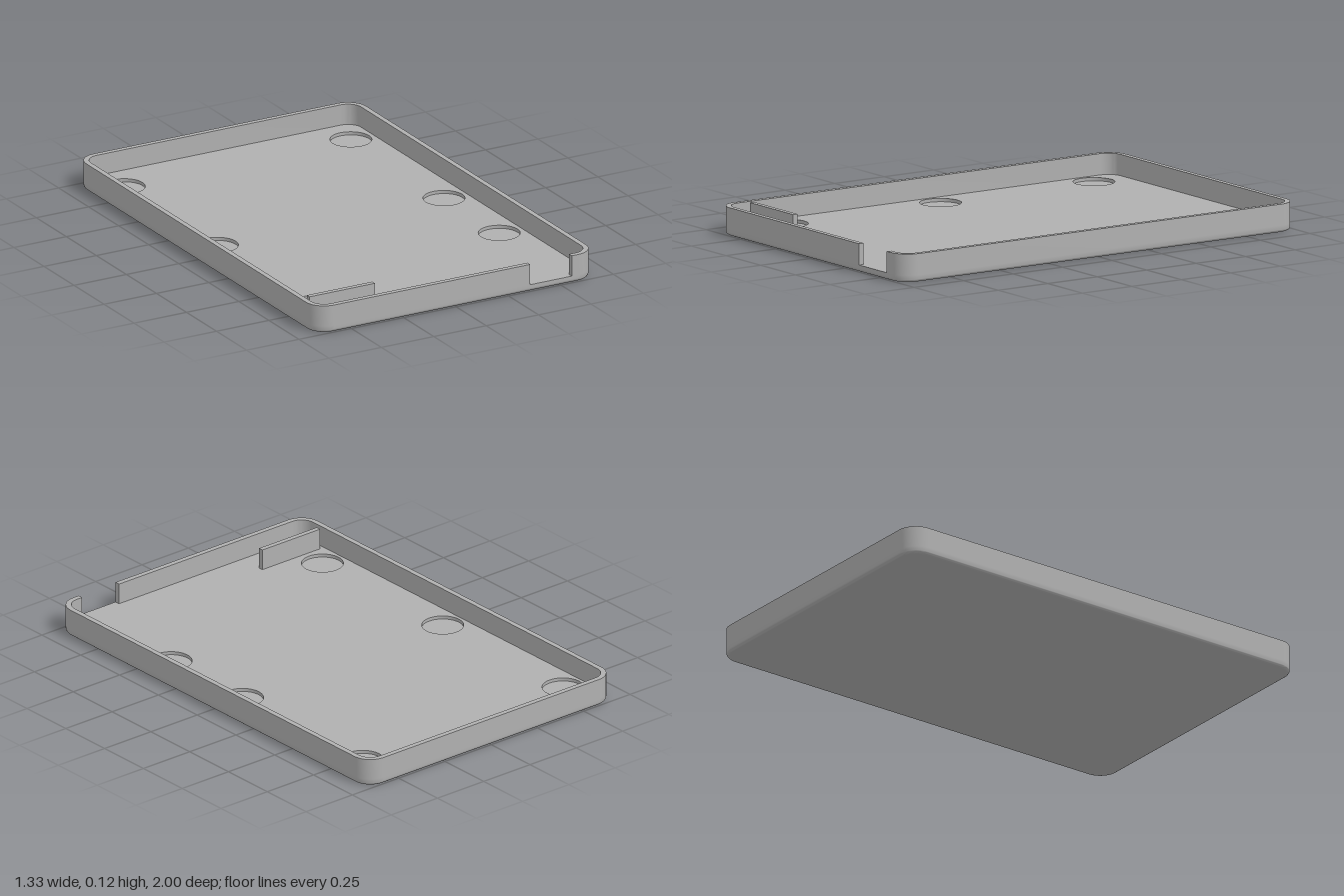
import * as THREE from 'three';
import { toCreasedNormals } from 'three/addons/utils/BufferGeometryUtils.js';

const HALF_X = 0.667, HALF_Z = 1, HEIGHT = 0.12, FLOOR = 0.03;
const WALL = 0.023, CORNER = 0.085, FILLET = 0.016;
const RECESS_R = 0.087, RECESS_DEPTH = 0.014;
const NOTCH = [0.353, 0.552];
const RECESSES = [
  [-0.543, -0.815], [-0.543, -0.04], [-0.543, 0.735],
  [0.538, -0.815], [0.538, -0.04], [0.538, 0.42],
];

// Rounded rectangle, counter-clockwise from the front right corner; shape y is -z
function outline(inset, steps = 12) {
  const r = CORNER - inset, pts = [];
  [[1, -1], [1, 1], [-1, 1], [-1, -1]].forEach(([sx, sy], corner) => {
    for (let i = 0; i <= steps; i++) {
      const a = (corner - 1 + i / steps) * Math.PI / 2;
      pts.push(new THREE.Vector2(
        sx * (HALF_X - CORNER) + r * Math.cos(a),
        sy * (HALF_Z - CORNER) + r * Math.sin(a)));
    }
  });
  return pts;
}

// Skin through stacked outlines, each given as [inset, y]
function loft(levels) {
  const pos = [], index = [];
  let n = 0;
  for (const [inset, y] of levels) {
    const ring = outline(inset);
    n = ring.length;
    ring.forEach(p => pos.push(p.x, y, -p.y));
  }
  for (let k = 0; k < levels.length - 1; k++) {
    for (let i = 0; i < n; i++) {
      const a = k * n + i, b = k * n + (i + 1) % n;
      index.push(a, b, b + n, a, b + n, a + n);
    }
  }
  const g = new THREE.BufferGeometry();
  g.setAttribute('position', new THREE.Float32BufferAttribute(pos, 3));
  g.setIndex(index);
  return toCreasedNormals(g, Math.PI / 5);
}

export function createModel() {
  const group = new THREE.Group();
  const grey = new THREE.MeshStandardMaterial({ color: 0xb0b0b0 });
  const add = (name, geometry) => {
    const mesh = new THREE.Mesh(geometry, grey);
    mesh.name = name;
    group.add(mesh);
    return mesh;
  };

  // Base with a filleted lower edge
  const levels = [];
  for (let i = 0; i <= 6; i++) {
    const a = i / 6 * Math.PI / 2;
    levels.push([FILLET * (1 - Math.sin(a)), FILLET * (1 - Math.cos(a))]);
  }
  levels.push([0, FLOOR]);
  add('baseEdge', loft(levels));
  add('underside', new THREE.ShapeGeometry(new THREE.Shape(outline(FILLET))).rotateX(Math.PI / 2));

  // Inner floor pierced by the round recesses
  const floor = new THREE.Shape(outline(0));
  for (const [x, z] of RECESSES) {
    floor.holes.push(new THREE.Path().absarc(x, -z, RECESS_R, 0, Math.PI * 2, true));
  }
  add('floor', new THREE.ShapeGeometry(floor, 24).rotateX(-Math.PI / 2).translate(0, FLOOR, 0));

  // Recess cups: inward-facing side and bottom disc
  const cup = new THREE.LatheGeometry([
    new THREE.Vector2(RECESS_R, FLOOR), new THREE.Vector2(RECESS_R, FLOOR - RECESS_DEPTH),
  ], 48);
  const disc = new THREE.CircleGeometry(RECESS_R, 48).rotateX(-Math.PI / 2);
  for (const [x, z] of RECESSES) {
    add('recessSide', cup).position.set(x, 0, z);
    add('recessBottom', disc).position.set(x, FLOOR - RECESS_DEPTH, z);
  }

  // Wall running all round, open at the front notch
  const side = (inset) => [
    new THREE.Vector2(NOTCH[1], inset - HALF_Z), ...outline(inset),
    new THREE.Vector2(NOTCH[0], inset - HALF_Z),
  ];
  const wall = new THREE.ExtrudeGeometry(
    new THREE.Shape([...side(0), ...side(WALL).reverse()]),
    { depth: HEIGHT - FLOOR, bevelEnabled: false });
  add('wall', toCreasedNormals(wall.rotateX(-Math.PI / 2).translate(0, FLOOR, 0), Math.PI / 5));

  // Upright rib near the front left of the tray
  add('rib', new THREE.BoxGeometry(0.312, HEIGHT - FLOOR, 0.022))
    .position.set(-0.468, (HEIGHT + FLOOR) / 2, 0.857);

  return group;
}
